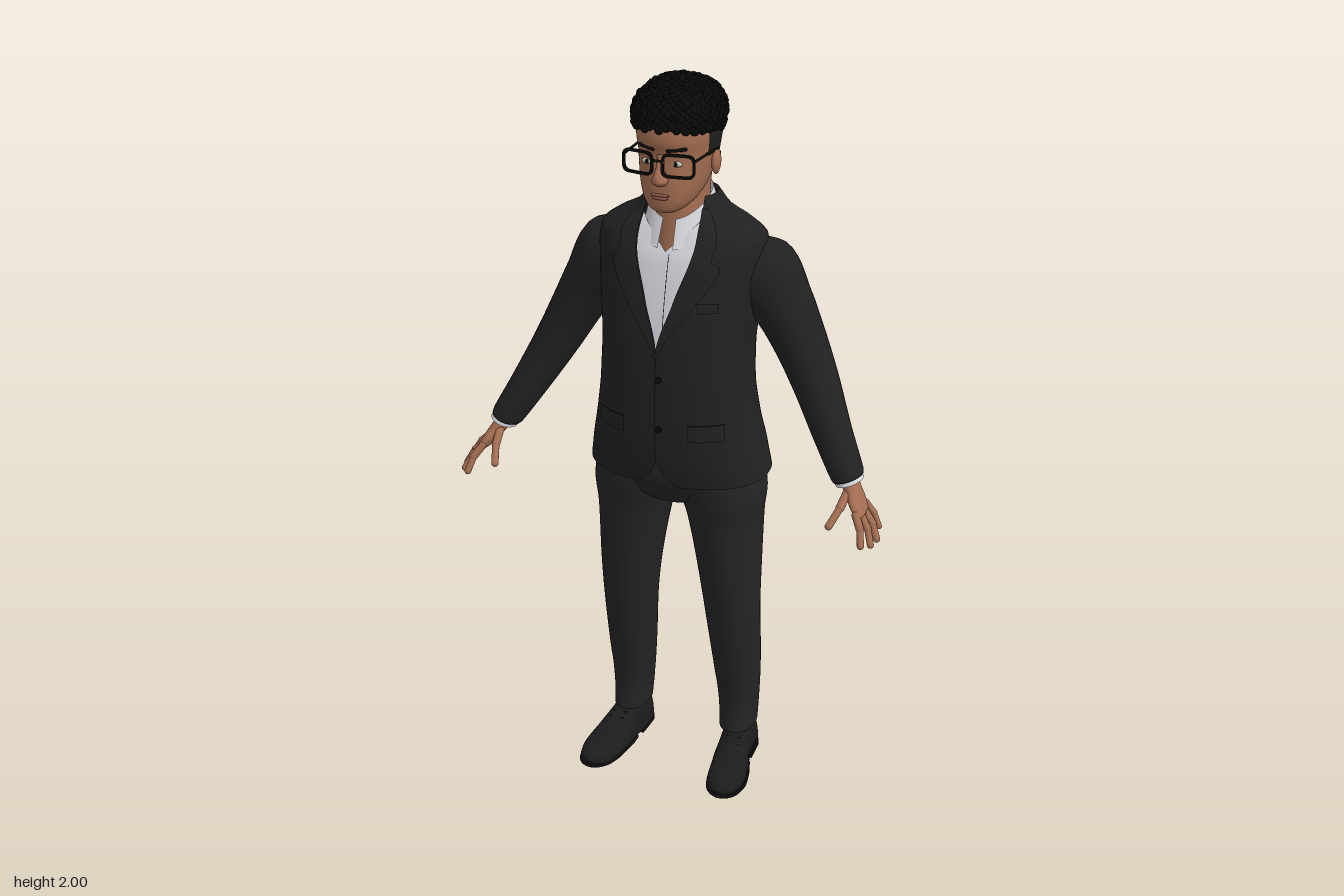
import * as THREE from 'three';
import { mergeGeometries } from 'three/addons/utils/BufferGeometryUtils.js';
import { ParametricGeometry } from 'three/addons/geometries/ParametricGeometry.js';

const mat = (name, color, side = THREE.FrontSide) => {
  const m = new THREE.MeshStandardMaterial({ color, side });
  m.name = name;
  return m;
};
const V = (x, y, z) => new THREE.Vector3(x, y, z);
const lerp = THREE.MathUtils.lerp;
const spow = (a, e) => Math.sign(a) * Math.abs(a) ** e;

// Smooth monotone interpolation of table rows [key, a, b, ...]
const curve = rows => t => {
  let i = 0;
  while (i < rows.length - 2 && t > rows[i + 1][0]) i++;
  const a = rows[i], b = rows[i + 1], h = b[0] - a[0];
  const s = THREE.MathUtils.clamp((t - a[0]) / h, 0, 1);
  const slope = (k, c) => (rows[k + 1][c] - rows[k][c]) / (rows[k + 1][0] - rows[k][0]);
  const tangent = (k, c) => {
    if (k === 0) return slope(0, c);
    if (k === rows.length - 1) return slope(k - 1, c);
    const p = slope(k - 1, c), q = slope(k, c);
    return p * q <= 0 ? 0 : 2 * p * q / (p + q);
  };
  return a.slice(1).map((_, j) => {
    const c = j + 1, s2 = s * s, s3 = s2 * s;
    return (2 * s3 - 3 * s2 + 1) * a[c] + (s3 - 2 * s2 + s) * h * tangent(i, c)
      + (3 * s2 - 2 * s3) * b[c] + (s3 - s2) * h * tangent(i + 1, c);
  });
};

const surface = (f, nu, nv) => new ParametricGeometry((u, v, p) => p.copy(f(u, v)), nu, nv);

// Horizontal oval sections from rows [y, halfWidth, zFront, zBack]
const oval = (rows, n = 2.3, cx = 0) => {
  const f = curve(rows);
  return (a, y, grow = 0) => {
    const [w, zf, zb] = f(y);
    return V(cx + (w + grow) * spow(Math.sin(a), 2 / n), y,
      (zf + zb) / 2 + ((zf - zb) / 2 + grow) * spow(Math.cos(a), 2 / n));
  };
};
const loft = (section, y0, y1, nv = 40) =>
  surface((u, v) => section(u * Math.PI * 2, lerp(y0, y1, v)), 48, nv);

// Limb along rows [x, y, z, thickness, depth, tilt in degrees]
const limb = (rows, k = 6) => {
  const f = curve(rows.map((r, i) => [i, ...r])), last = rows.length - 1;
  return surface((u, v) => {
    const [x, y, z, r, d, tilt] = f(v * last), t = tilt * Math.PI / 180, a = u * Math.PI * 2;
    const c = Math.cos(a) * r;
    return V(x + c * Math.cos(t), y + c * Math.sin(t), z + Math.sin(a) * d);
  }, 28, last * k);
};

const rod = (a, b, r) => {
  const d = b.clone().sub(a), g = new THREE.CapsuleGeometry(r, d.length(), 5, 10);
  g.applyQuaternion(new THREE.Quaternion().setFromUnitVectors(V(0, 1, 0), d.normalize()));
  return g.translate((a.x + b.x) / 2, (a.y + b.y) / 2, (a.z + b.z) / 2);
};
const ball = (x, y, z, sx, sy, sz) =>
  new THREE.SphereGeometry(1, 20, 14).scale(sx, sy, sz).translate(x, y, z);
const mirror = g => {
  const m = g.clone().scale(-1, 1, 1), ix = m.index.array;
  for (let i = 0; i < ix.length; i += 3) [ix[i], ix[i + 1]] = [ix[i + 1], ix[i]];
  const n = m.attributes.normal;
  if (n.getX(0) === g.attributes.normal.getX(0) && n.getX(0) !== 0) for (let i = 0; i < n.count; i++) n.setX(i, -n.getX(i));
  return m;
};

export function createModel() {
  const D = THREE.DoubleSide;
  const jacket = mat('jacket cloth', 0x212121, D), trousers = mat('trouser cloth', 0x242424);
  const shoe = mat('shoe leather', 0x1c1c1d), skin = mat('skin', 0xa36d51), lip = mat('lips', 0x8c5545);
  const hair = mat('curly hair', 0x0b0b0b), fade = mat('short hair', 0x211f1e, D);
  const shirt = mat('shirt cloth', 0xd6d6de, D), white = mat('eye white', 0xcfc8c2), trim = mat('black trim', 0x0c0c0c, D);
  const model = new THREE.Group();
  const add = (name, g, m) => {
    const mesh = new THREE.Mesh(g, m);
    mesh.name = name;
    model.add(mesh);
  };
  const pair = (name, g, m) => {
    add('left' + name, g, m);
    add('right' + name, mirror(g), m);
  };

  // Jacket body, open at the neckline and below the buttons
  const jRows = [[0.93, .248, .152, -.19], [1.0, .236, .163, -.185], [1.1, .217, .167, -.166], [1.2, .205, .166, -.156],
    [1.3, .202, .16, -.165], [1.4, .212, .145, -.18], [1.5, .22, .122, -.186], [1.55, .225, .107, -.176],
    [1.585, .222, .09, -.164], [1.62, .18, .072, -.146], [1.65, .125, .054, -.128], [1.695, .09, .035, -.108]];
  const jN = 2.3, body = oval(jRows, jN), dims = curve(jRows);
  const opening = curve([[.93, .055], [.96, .022], [1.01, 0], [1.3, 0], [1.45, .04], [1.6, .08], [1.695, .074]]);
  const angleAt = (x, y) => Math.asin(Math.min(1, spow(x / dims(y)[0], jN / 2)));
  add('jacketBody', surface((u, v) => {
    const y = lerp(.93, 1.695, v), a0 = angleAt(opening(y)[0], y);
    return body(lerp(a0, Math.PI * 2 - a0, u), y);
  }, 64, 64), jacket);

  // Thin plates laid on the front of the jacket
  const plate = (x0, x1, y0, y1, off, nv = 12) => surface((u, v) => {
    const y = lerp(y0, y1, v), x = lerp(x0(y), x1(y), u);
    const p = body(angleAt(x, y), y);
    p.z += off;
    return p;
  }, 8, nv);
  const lapel = curve([[1.3, .004], [1.4, .04], [1.53, .08], [1.545, .075], [1.552, .05], [1.6, .05], [1.67, .012]]);
  const edge = y => opening(y)[0];
  pair('Lapel', plate(edge, y => edge(y) + lapel(y)[0], 1.3, 1.67, .008, 40), jacket);
  pair('PocketFlap', plate(() => .09, () => .175, 1.075, 1.12, .007), jacket);
  pair('PocketSeam', plate(() => .09, () => .175, 1.12, 1.124, .008, 2), trim);
  add('chestPocket', plate(() => .1, () => .15, 1.425, 1.45, .006), jacket);
  add('frontSeam', plate(() => -.0015, () => .0015, 1.0, 1.3, .002), trim);
  for (const y of [1.1, 1.24])
    add('jacketButton', new THREE.CylinderGeometry(.009, .009, .006, 16).rotateX(Math.PI / 2).translate(.01, y, .168), trim);
  pair('BackVent', surface((u, v) => body(Math.PI - .4 - .02 * u * (1.5 - v), lerp(.932, 1.1, v), .003), 2, 10), trim);

  // Sleeves, cuffs and hands
  pair('Sleeve', limb([[.13, 1.49, -.05, .085, .08, 82], [.2, 1.475, -.06, .112, .092, 57], [.262, 1.405, -.06, .082, .086, 28],
    [.315, 1.315, -.052, .07, .075, 26], [.365, 1.22, -.035, .062, .067, 26], [.43, 1.1, .008, .052, .055, 24],
    [.489, .998, .045, .042, .046, 21], [.489, .998, .045, .03, .034, 21]]), jacket);
  pair('Cuff', limb([[.47, 1.03, .035, .036, .04, 21], [.495, .988, .049, .038, .042, 21], [.495, .988, .049, .02, .025, 21]], 4), shirt);
  pair('Palm', limb([[.478, 1.015, .04, .024, .03, 22], [.505, .973, .055, .021, .033, 22], [.524, .945, .07, .018, .043, 22],
    [.54, .922, .081, .014, .044, 24], [.546, .913, .085, .003, .03, 24]]), skin);
  const fingers = [['Index', .534, .928, .115, .562, .863, .155], ['Middle', .542, .92, .094, .582, .859, .132],
    ['Ring', .545, .922, .07, .589, .863, .102], ['Little', .54, .935, .047, .585, .882, .068], ['Thumb', .498, .968, .075, .476, .905, .158]];
  for (const [name, ax, ay, az, bx, by, bz] of fingers) {
    const a = V(ax, ay, az), b = V(bx, by, bz), mid = a.clone().lerp(b, .5).add(V(.005, .004, 0));
    const r = name === 'Little' ? .0085 : name === 'Thumb' ? .0115 : .0105;
    pair(name + 'Finger', mergeGeometries([rod(a, mid, r), rod(mid, b, r * .88)]), skin);
  }

  // Shirt front and collar
  add('shirtFront', surface((u, v) => {
    const s = 2 * u - 1, y = 1.27 + v * (.295 + .09 * Math.abs(s)), x = s * (edge(y) + .014);
    const p = body(angleAt(x, y), y);
    p.z -= .007;
    return p;
  }, 24, 24), shirt);
  add('shirtPlacket', plate(() => .011, () => .013, 1.34, 1.56, -.005), fade);
  add('shirtCollar', surface((u, v) => {
    const a = lerp(.22, Math.PI * 2 - .22, u), f = (1 + Math.cos(a)) / 2;
    const top = 1.712 - .07 * f * f, bottom = 1.665 - .095 * f ** 1.5;
    const w = lerp(.094, .078, v);
    return V(w * Math.sin(a), lerp(bottom, top, v), -.02 + Math.cos(a) * lerp(.1 + .02 * f, .086, v));
  }, 48, 6), shirt);

  // Trousers
  add('hips', loft(oval([[.85, .1, .09, -.12], [.88, .19, .112, -.145], [.94, .228, .128, -.158], [1.03, .2, .12, -.14], [1.04, .01, .0, -.02]]), .85, 1.04), trousers);
  const legRows = [[.1, .05, .018, -.125], [.16, .053, .012, -.13], [.22, .057, .016, -.131], [.3, .062, .034, -.13], [.5, .073, .07, -.112],
    [.6, .08, .085, -.118], [.8, .1, .105, -.14], [.88, .114, .118, -.15], [.95, .11, .124, -.15]];
  const leg = oval(legRows, 2.2), legX = curve([[.1, .163], [.3, .159], [.5, .152], [.6, .147], [.8, .131], [.95, .116]]);
  pair('TrouserLeg', surface((u, v) => {
    const y = lerp(.1, .95, v), p = leg(u * Math.PI * 2, y);
    p.x += legX(y)[0];
    return p;
  }, 40, 50), trousers);
  pair('TrouserHem', new THREE.CircleGeometry(1, 32).rotateX(Math.PI / 2).scale(.05, 1, .071).translate(.163, .101, -.0535), trousers);

  // Shoes: sections along z from rows [z, xCentre, halfWidth, top]
  const shoeRows = [[-.128, .163, .008, .05], [-.12, .163, .033, .085], [-.09, .165, .045, .105], [-.03, .168, .046, .11], [.01, .173, .047, .1],
    [.05, .18, .053, .078], [.11, .19, .055, .055], [.16, .194, .045, .045], [.188, .196, .025, .036], [.198, .196, .004, .024]];
  const shoeAt = curve(shoeRows);
  const shoeLoft = (base, top, grow, z0, z1) => surface((u, v) => {
    const z = lerp(z0, z1, v), [cx, w, h] = shoeAt(z), a = u * Math.PI * 2, c = Math.cos(a);
    const t = top ?? h;
    return V(cx - (w + grow) * spow(Math.sin(a), .75), c > 0 ? base + (t - base) * c ** .75 : base, z);
  }, 32, 44);
  pair('ShoeUpper', shoeLoft(.012, null, 0, -.128, .198), shoe);
  pair('ShoeSole', shoeLoft(.003, .024, .003, .01, .198), trim);
  pair('ShoeHeel', shoeLoft(0, .034, .002, -.128, -.02), trim);
  for (const z of [.022, .04, .058]) {
    const [cx, , h] = shoeAt(z);
    pair('Lace', rod(V(cx - .018, h - .004, z), V(cx + .018, h - .004, z), .003), trim);
  }

  // Neck and head
  add('neck', loft(oval([[1.54, .07, .07, -.1], [1.6, .07, .062, -.1], [1.66, .069, .055, -.1], [1.76, .072, .04, -.105]], 2.1), 1.54, 1.76, 16), skin);
  const head = oval([[1.67, .006, .09, .06], [1.675, .032, .113, .02], [1.69, .054, .127, -.02], [1.71, .069, .129, -.05], [1.74, .081, .128, -.085],
    [1.78, .089, .124, -.108], [1.82, .094, .121, -.122], [1.86, .098, .128, -.13], [1.91, .095, .116, -.13], [1.95, .07, .07, -.09], [1.965, .004, .005, -.005]], 2.3);
  add('head', loft(head, 1.67, 1.965, 60), skin);
  add('nose', loft(oval([[1.748, .006, .126, .1], [1.754, .018, .144, .1], [1.765, .021, .155, .1], [1.775, .016, .154, .1],
    [1.8, .01, .14, .1], [1.83, .011, .126, .1]], 2), 1.748, 1.83, 20), skin);
  pair('Ear', ball(.097, 1.785, -.008, .011, .034, .021).rotateY(0), skin);
  add('upperLip', ball(0, 1.7255, .127, .026, .0045, .006), lip);
  add('lowerLip', ball(0, 1.718, .127, .022, .005, .007), lip);
  pair('EyeWhite', ball(.038, 1.806, .1125, .016, .0075, .006), white);
  pair('Pupil', ball(.038, 1.806, .1165, .006, .0065, .003), trim);
  pair('Eyebrow', rod(V(.02, 1.841, .123), V(.06, 1.845, .108), .0048), hair);

  // Glasses
  const box = (w, h, r, Type) => {
    const s = new Type();
    s.moveTo(-w + r, -h).lineTo(w - r, -h).quadraticCurveTo(w, -h, w, -h + r).lineTo(w, h - r).quadraticCurveTo(w, h, w - r, h)
      .lineTo(-w + r, h).quadraticCurveTo(-w, h, -w, h - r).lineTo(-w, -h + r).quadraticCurveTo(-w, -h, -w + r, -h);
    return s;
  };
  const rim = box(.043, .031, .02, THREE.Shape);
  rim.holes.push(box(.037, .0245, .016, THREE.Path));
  const rimGeo = new THREE.ExtrudeGeometry(rim, { depth: .007, bevelEnabled: false, curveSegments: 8 }).rotateY(.14);
  for (const s of [-1, 1])
    add(s > 0 ? 'leftRim' : 'rightRim', rimGeo.clone().rotateY(s > 0 ? 0 : -.28).translate(s * .053, 1.81, .136), trim);
  add('glassesBridge', rod(V(-.012, 1.82, .145), V(.012, 1.82, .145), .0035), trim);
  pair('Temple', mergeGeometries([rod(V(.093, 1.824, .134), V(.1, 1.82, -.005), .0035), rod(V(.1, 1.82, -.005), V(.098, 1.8, -.03), .0035)]), trim);

  // Short hair at the sides and back
  add('shortHair', surface((u, v) => {
    const a = lerp(1.28, Math.PI * 2 - 1.28, u), back = Math.max(0, -Math.cos(a));
    return head(a, lerp(1.812 - .055 * Math.min(1, back * 2), 1.905, v), .004);
  }, 48, 14), fade);

  // Curly top: a cap cut along a sloping hairline, covered in small curls
  const hairline = z => 1.872 + .15 * z;
  const onCap = (x, y, z, k) => V(.107 * k * spow(x, .88), 1.9 + .086 * k * spow(y, .88), -.005 + .128 * k * spow(z, .92));
  const cap = new THREE.SphereGeometry(1, 40, 28), cp = cap.attributes.position;
  for (let i = 0; i < cp.count; i++) {
    const p = onCap(cp.getX(i), cp.getY(i), cp.getZ(i), .99);
    cp.setXYZ(i, p.x, Math.max(p.y, hairline(p.z)), p.z);
  }
  cap.computeVertexNormals();
  add('hairCap', cap, hair);
  let seed = 7;
  const rand = () => (seed = (seed * 16807) % 2147483647) / 2147483647;
  const curls = [], N = 900;
  for (let i = 0; i < N; i++) {
    const y = 1 - 2 * (i + .5) / N, r = Math.sqrt(1 - y * y), a = i * 2.39996;
    const p = onCap(r * Math.cos(a), y, r * Math.sin(a), .98 + .03 * rand());
    const size = .009 + .004 * rand();
    if (p.y > hairline(p.z)) curls.push(new THREE.IcosahedronGeometry(size, 1).translate(p.x, p.y, p.z));
  }
  add('hairCurls', mergeGeometries(curls), hair);
  return model;
}
